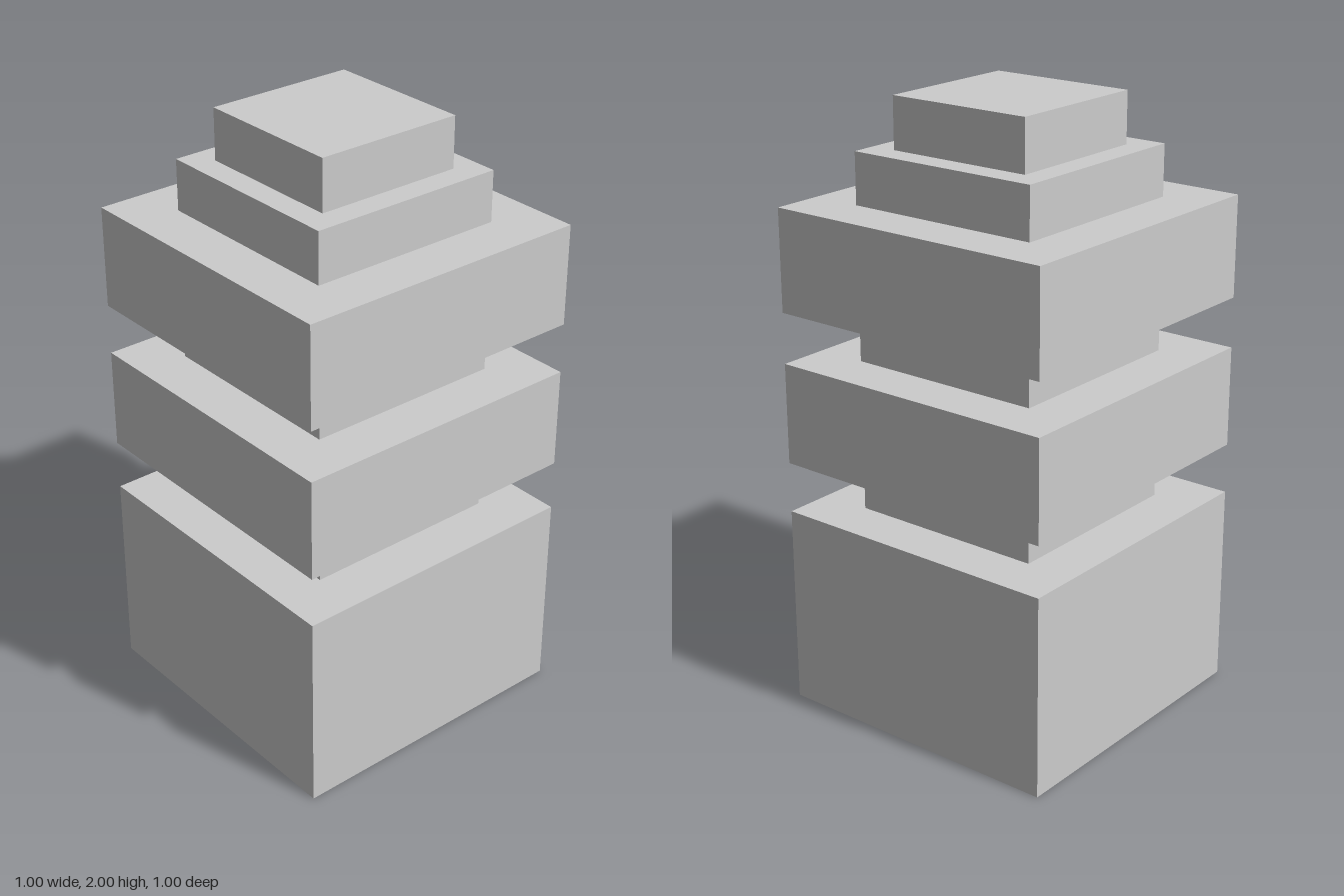
import * as THREE from 'three';

// Square tiers from the ground up: name, width, height (in twelfths of a unit)
const TIERS = [
  ['base', 12, 8],
  ['lowerNeck', 8, 2],
  ['lowerSlab', 12, 4],
  ['upperNeck', 8, 2],
  ['upperSlab', 12, 4],
  ['topStep', 8, 2],
  ['cap', 6, 2],
];
const UNIT = 1 / 12;

export function createModel() {
  const group = new THREE.Group();
  group.name = 'steppedTower';
  const material = new THREE.MeshStandardMaterial({ color: 0xcccccc, flatShading: true });

  // Stack each tier on top of the one below
  let y = 0;
  for (const [name, width, height] of TIERS) {
    const w = width * UNIT;
    const h = height * UNIT;
    const tier = new THREE.Mesh(new THREE.BoxGeometry(w, h, w), material);
    tier.name = name;
    tier.position.y = y + h / 2;
    group.add(tier);
    y += h;
  }
  return group;
}
